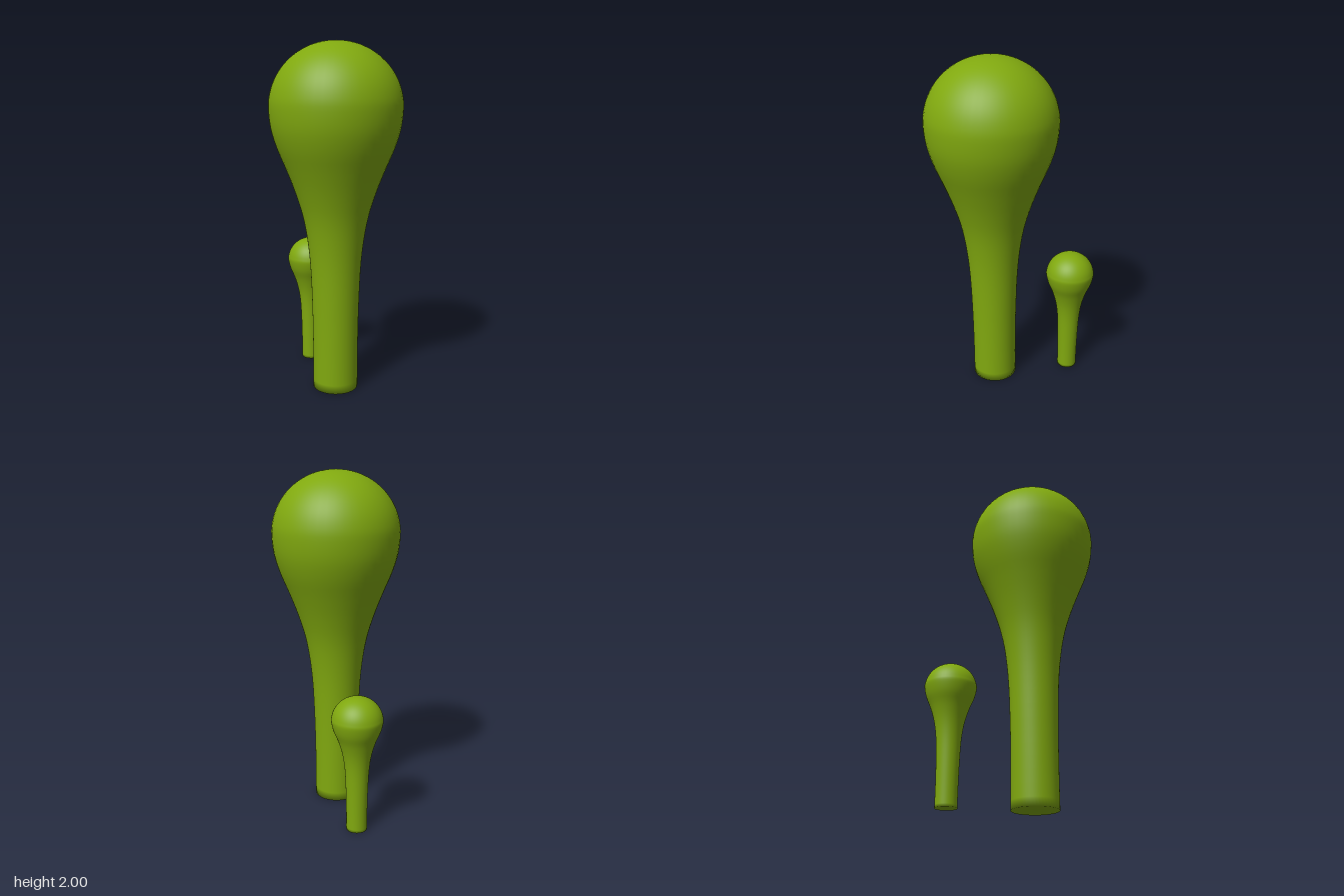
import * as THREE from 'three';

const green = new THREE.MeshStandardMaterial({ color: 0x80a80f });

// Club-shaped plant: flat base, flaring stalk, and a round head
function makePlant(name, z, stalk, headRadius, headY, top) {
  const points = stalk.map(([r, y]) => new THREE.Vector2(r, y));
  const steps = 8;
  for (let i = 0; i <= steps; i++) {
    const a = (i / steps) * Math.PI / 2;
    points.push(new THREE.Vector2(headRadius * Math.cos(a), headY + (top - headY) * Math.sin(a)));
  }
  const profile = new THREE.SplineCurve(points).getPoints(60);
  profile[profile.length - 1].x = 0;
  // Shared rim vertices keep the soft shading down to the base
  const outline = [new THREE.Vector2(0, 0), ...profile];
  const mesh = new THREE.Mesh(new THREE.LatheGeometry(outline, 48), green);
  mesh.name = name;
  mesh.position.z = z;
  return mesh;
}

export function createModel() {
  const group = new THREE.Group();
  group.name = 'clubPlants';

  const tallStalk = [
    [0.131, 0], [0.131, 0.22], [0.134, 0.45], [0.143, 0.7], [0.16, 0.88],
    [0.187, 1.03], [0.23, 1.17], [0.28, 1.3], [0.33, 1.42], [0.362, 1.53],
  ];
  group.add(makePlant('tallPlant', 0.12, tallStalk, 0.373, 1.64, 2));

  const smallStalk = [
    [0.06, 0], [0.06, 0.1], [0.063, 0.25], [0.069, 0.37],
    [0.082, 0.46], [0.105, 0.54], [0.132, 0.605],
  ];
  group.add(makePlant('smallPlant', -0.35, smallStalk, 0.145, 0.66, 0.8));

  return group;
}
